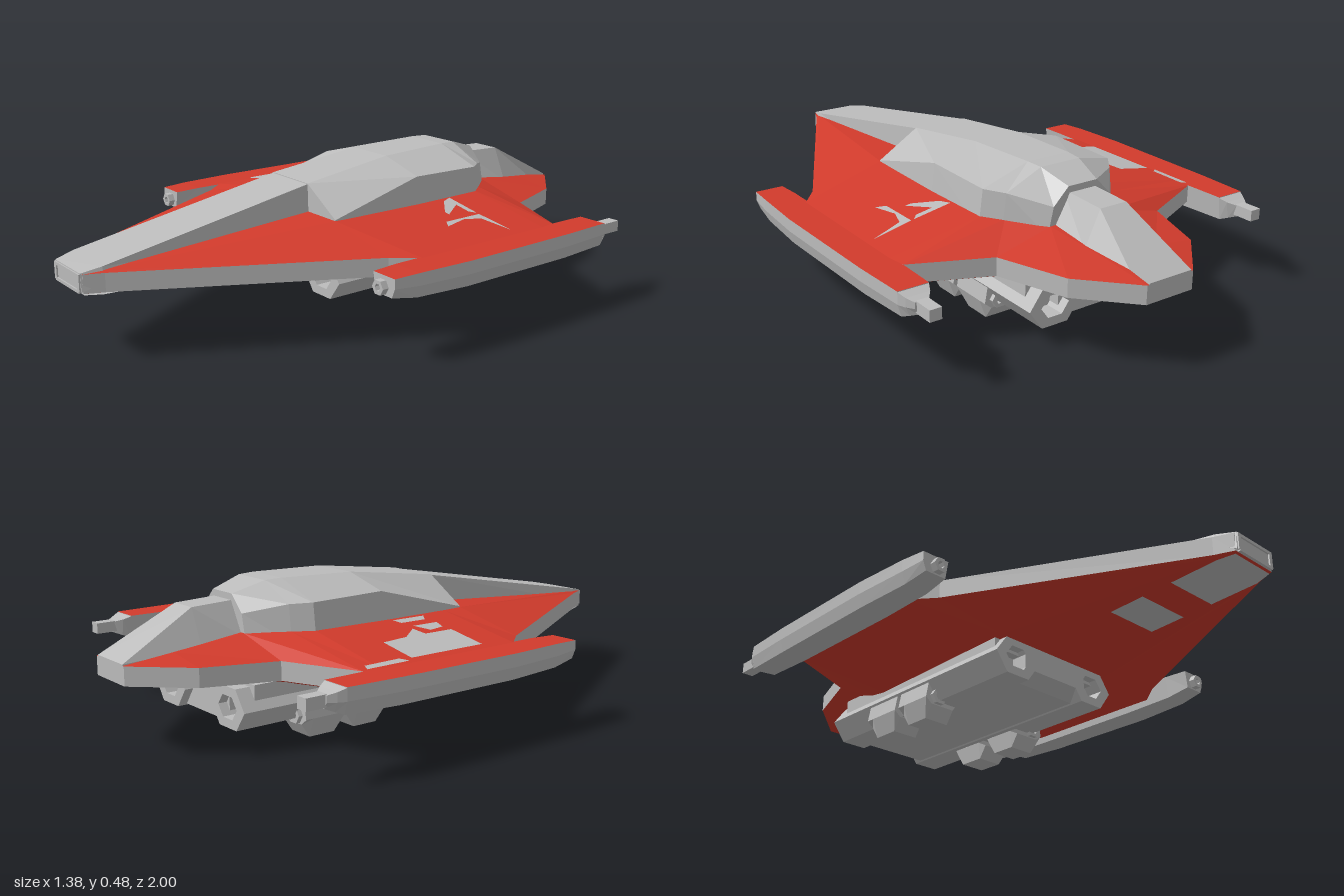
import * as THREE from 'three';

const gray = new THREE.MeshStandardMaterial({ color: 0xbcbcbc, flatShading: true, side: THREE.DoubleSide });
gray.name = 'hull gray';
const red = new THREE.MeshStandardMaterial({ color: 0xd23b2c, flatShading: true, side: THREE.DoubleSide });
red.name = 'panel red';
const MATS = [gray, red];

function add(group, name, geometry, material = gray) {
  const m = new THREE.Mesh(geometry, material);
  m.name = name;
  group.add(m);
  return m;
}

// Skin between rings of [x, y], front to back; each ring runs clockwise seen from the front.
// colours(segment) picks 0 gray or 1 red; side -1 mirrors in x.
function loft(sections, colours = () => 0, side = 1) {
  const buckets = [[], []];
  const tri = (k, a, b, c) => buckets[k].push(...a, ...(side > 0 ? b : c), ...(side > 0 ? c : b));
  const rings = sections.map(([z, ring]) => ring.map(([x, y]) => [x * side, y, z]));
  const n = rings[0].length;
  for (let j = 0; j < n; j++) {
    const k = (j + 1) % n;
    for (let i = 0; i < rings.length - 1; i++) {
      const [p, q] = [rings[i], rings[i + 1]];
      tri(colours(j), p[j], p[k], q[k]);
      tri(colours(j), p[j], q[k], q[j]);
    }
  }
  const last = rings[rings.length - 1];
  for (let j = 1; j < n - 1; j++) {
    tri(0, rings[0][0], rings[0][j + 1], rings[0][j]);
    tri(0, last[0], last[j], last[j + 1]);
  }
  const g = new THREE.BufferGeometry();
  g.setAttribute('position', new THREE.Float32BufferAttribute([...buckets[0], ...buckets[1]], 3));
  g.addGroup(0, buckets[0].length / 3, 0);
  if (buckets[1].length) g.addGroup(buckets[0].length / 3, buckets[1].length / 3, 1);
  g.computeVertexNormals();
  return g;
}

// Complete a right-hand half profile with its mirror image
const both = (half) => [...half, ...half.map(([x, y]) => [-x, y]).reverse()];

// Hull stations: z, inner half width, top height, rim half width, bottom height
const HULL = [
  [0.99, 0.085, 0.28, 0.09, 0.22], [0.93, 0.1, 0.285, 0.115, 0.215], [0.18, 0.25, 0.335, 0.515, 0.185],
  [0.1, 0.25, 0.335, 0.58, 0.183], [-0.44, 0.25, 0.34, 0.58, 0.17], [-0.5, 0.21, 0.337, 0.57, 0.172],
  [-0.61, 0.12, 0.33, 0.32, 0.18], [-0.84, 0.095, 0.3, 0.24, 0.2], [-1, 0.085, 0.28, 0.088, 0.22],
];

// Height of the hull skin at x, z
function skin(x, z, top) {
  let i = 0;
  while (i < HULL.length - 2 && HULL[i + 1][0] > z) i++;
  const t = (HULL[i][0] - z) / (HULL[i][0] - HULL[i + 1][0]);
  const [, xi, yt, xr, yb] = HULL[i].map((v, j) => THREE.MathUtils.lerp(v, HULL[i + 1][j], t));
  const s = THREE.MathUtils.clamp((Math.abs(x) - xi) / (xr - xi), 0, 1);
  return top ? THREE.MathUtils.lerp(yt, 0.28, s) : THREE.MathUtils.lerp(yb, 0.22, s);
}

// Thin panel lying on the hull, outline given as [x, z]
function panel(points, top) {
  const g = new THREE.ShapeGeometry(new THREE.Shape(points.map(([x, z]) => new THREE.Vector2(x, -z))));
  g.rotateX(-Math.PI / 2);
  const p = g.attributes.position;
  for (let i = 0; i < p.count; i++) p.setY(i, skin(p.getX(i), p.getZ(i), top) + (top ? 0.006 : -0.006));
  g.computeVertexNormals();
  return g;
}

// Six-sided tube along z
function hexTube(x, y, rx, ry, bore, z0, z1) {
  const hex = (k) => [0, 1, 2, 3, 4, 5].map((i) =>
    new THREE.Vector2(x + k * rx * Math.cos(i * Math.PI / 3), y + k * ry * Math.sin(i * Math.PI / 3)));
  const shape = new THREE.Shape(hex(1));
  shape.holes.push(new THREE.Path(hex(bore)));
  const g = new THREE.ExtrudeGeometry(shape, { depth: z1 - z0, bevelEnabled: false });
  return g.translate(0, 0, z0);
}

function box(x0, x1, y0, y1, z0, z1) {
  return new THREE.BoxGeometry(x1 - x0, y1 - y0, z1 - z0).translate((x0 + x1) / 2, (y0 + y1) / 2, (z0 + z1) / 2);
}

export function createModel() {
  const ship = new THREE.Group();
  ship.name = 'spaceship';

  // Flat diamond hull: red skins, gray rim
  add(ship, 'hull', loft(
    HULL.map(([z, xi, yt, xr, yb]) => [z, both([[xi, yt], [xr, 0.28], [xr, 0.22], [xi, yb]])]),
    (j) => (j === 1 || j === 5 ? 0 : 1)), MATS);

  // Long nose spine, main cabin and tail spine
  add(ship, 'noseSpine', loft([
    [0.995, both([[0.085, 0.283], [0.09, 0.225]])],
    [0.93, both([[0.1, 0.296], [0.112, 0.25]])],
    [0.15, both([[0.1, 0.433], [0.108, 0.25]])],
  ]), MATS);
  add(ship, 'cabin', loft([
    [0.18, both([[0.1, 0.43], [0.25, 0.338], [0.255, 0.3]])],
    [-0.17, both([[0.088, 0.473], [0.25, 0.43], [0.265, 0.3]])],
    [-0.44, both([[0.08, 0.48], [0.25, 0.425], [0.265, 0.3]])],
    [-0.5, both([[0.075, 0.478], [0.205, 0.42], [0.22, 0.3]])],
    [-0.61, both([[0.055, 0.445], [0.11, 0.39], [0.13, 0.3]])],
  ]), MATS);
  add(ship, 'tailSpine', loft([
    [-0.58, both([[0.05, 0.425], [0.12, 0.3]])],
    [-0.75, both([[0.05, 0.418], [0.105, 0.3]])],
    [-1, both([[0.08, 0.284], [0.088, 0.22]])],
  ]), MATS);

  // Frame around the nose opening
  for (const s of [-1, 1]) {
    add(ship, 'noseFrameSide', box(s * 0.078 - 0.007, s * 0.078 + 0.007, 0.225, 0.28, 0.98, 1));
    add(ship, 'noseFrameBar', box(-0.08, 0.08, 0.25 + s * 0.025 - 0.005, 0.25 + s * 0.025 + 0.005, 0.98, 1));
  }

  // Belly keel between the engines
  add(ship, 'keel', loft([
    [0.18, both([[0.14, 0.2], [0.14, 0.1]])],
    [0.13, both([[0.14, 0.2], [0.14, 0.065]])],
    [-0.68, both([[0.14, 0.2], [0.14, 0.065]])],
  ]), MATS);

  const podRing = (x0, x1, y0, y1) => [[x0, y1], [x1, y1], [x1, (y0 + y1) / 2], [x1 - 0.012, y0], [x0 + 0.01, y0]];
  const blockRing = (y0) => [[0.17, 0.12], [0.265, 0.12], [0.275, 0.065], [0.25, y0], [0.155, y0], [0.145, 0.06]];

  for (const s of [1, -1]) {
    // Wingtip pods with red tops and small guns
    add(ship, 'wingPod', loft([
      [0.29, podRing(0.575, 0.672, 0.215, 0.277)],
      [0.2, podRing(0.572, 0.68, 0.2, 0.28)],
      [0, podRing(0.57, 0.69, 0.195, 0.28)],
      [-0.45, podRing(0.57, 0.685, 0.195, 0.28)],
      [-0.64, podRing(0.573, 0.676, 0.2, 0.28)],
    ], (j) => (j === 0 ? 1 : 0), s), MATS);
    add(ship, 'podTail', loft([
      [-0.64, podRing(0.573, 0.676, 0.2, 0.278)],
      [-0.665, podRing(0.585, 0.665, 0.21, 0.268)],
      [-0.69, podRing(0.605, 0.65, 0.22, 0.26)],
    ], () => 0, s), MATS);
    add(ship, 'podGun', box(s * 0.625 - 0.02, s * 0.625 + 0.02, 0.225, 0.262, -0.755, -0.66));
    add(ship, 'podNozzle', hexTube(s * 0.62, 0.242, 0.025, 0.025, 0.5, 0.28, 0.312));

    // Six-sided belly engines, open at both ends
    add(ship, 'engine', hexTube(s * 0.175, 0.125, 0.095, 0.075, 0.55, -0.71, 0.18));
    add(ship, 'engineCore', box(s * 0.175 - 0.06, s * 0.175 + 0.06, 0.085, 0.165, -0.64, 0.12));
    add(ship, 'engineMount', box(s * 0.18 - 0.07, s * 0.18 + 0.07, 0.15, 0.2, -0.66, 0.15));

    // Hanging gun blocks
    for (const [z0, z1] of [[-0.165, -0.315], [-0.335, -0.49]]) {
      add(ship, 'gunBlock', loft([
        [z0, blockRing(0.045)], [z0 - 0.03, blockRing(0)], [z1 + 0.03, blockRing(0)], [z1, blockRing(0.045)],
      ], () => 0, s), MATS);
      add(ship, 'gunMuzzle', hexTube(s * 0.225, 0.075, 0.032, 0.03, 0.55, z1 - 0.015, z0 + 0.015));
    }
  }

  // Uneven gray service panels on the wings
  const topPanels = [
    [[-0.56, -0.31], [-0.43, -0.31], [-0.42, -0.21], [-0.37, -0.14], [-0.42, -0.13], [-0.42, -0.02], [-0.56, -0.02]],
    [[-0.575, -0.49], [-0.55, -0.48], [-0.55, -0.35], [-0.575, -0.33]],
    [[-0.4, -0.09], [-0.35, -0.12], [-0.35, -0.02], [-0.39, -0.03]],
    [[-0.315, -0.14], [-0.285, -0.15], [-0.285, -0.02], [-0.315, -0.04]],
    [[0.275, -0.3], [0.41, -0.3], [0.39, -0.28], [0.33, -0.28], [0.38, -0.2], [0.36, -0.2], [0.29, -0.26]],
    [[0.42, -0.3], [0.56, -0.31], [0.45, -0.28], [0.43, -0.22], [0.45, -0.13], [0.42, -0.15]],
  ];
  topPanels.forEach((p) => add(ship, 'wingPanel', panel(p, true)));

  // Gray panels under the nose and wing
  const bellyPanels = [
    [[-0.085, 0.985], [0.085, 0.985], [0.1, 0.93], [0.1, 0.76], [-0.1, 0.76], [-0.1, 0.93]],
    [[-0.1, 0.65], [0.1, 0.65], [0.1, 0.52], [-0.1, 0.52]],
    [[0.29, -0.06], [0.37, -0.14], [0.29, -0.2]],
  ];
  bellyPanels.forEach((p) => add(ship, 'bellyPanel', panel(p, false)));

  return ship;
}
